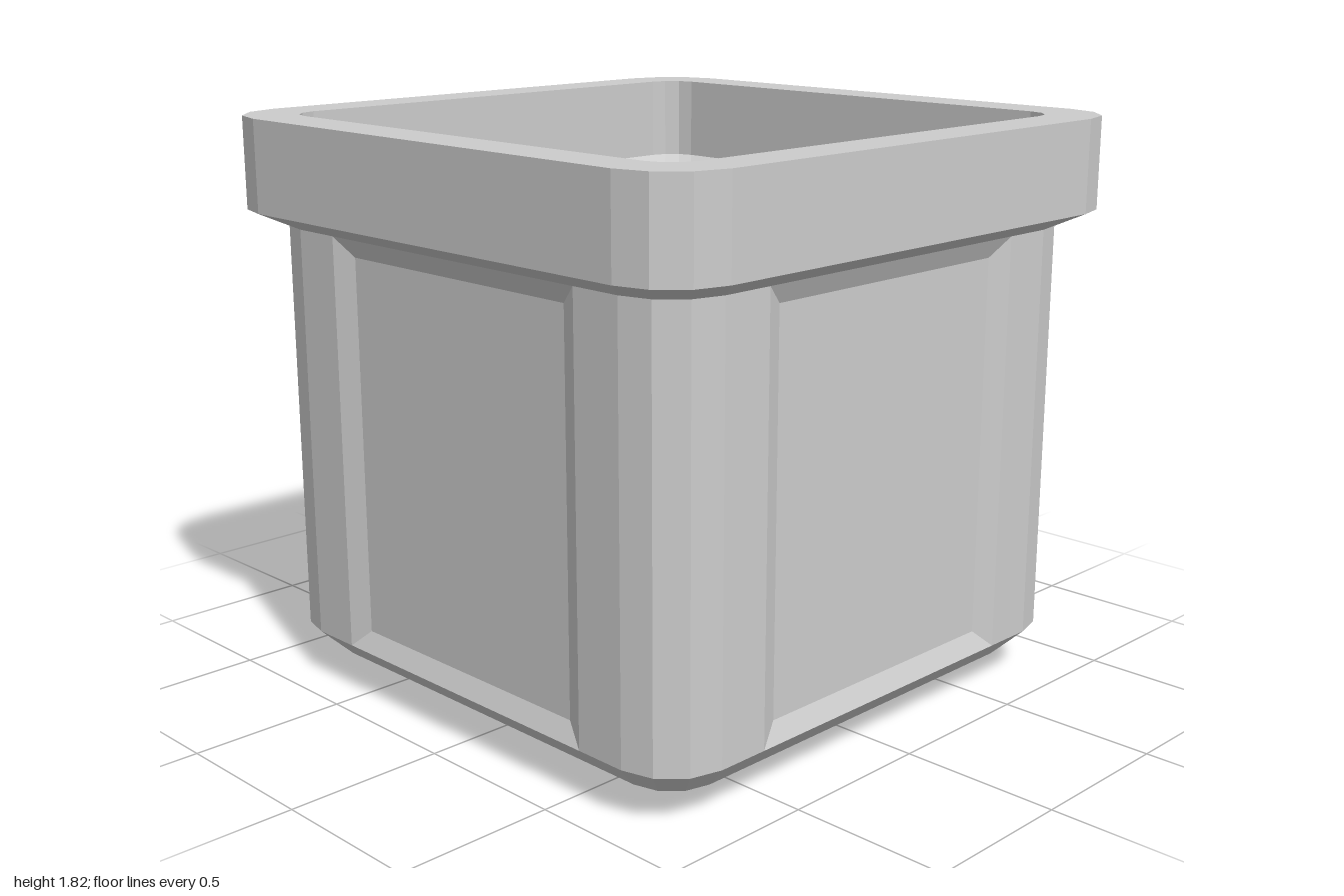
import * as THREE from 'three';

// Rounded-square ring, counterclockwise from above. Each side carries a panel:
// a = panel half width on the wall, b = half width of its shifted face, d = shift inwards.
function ring({ h, y, r = 0, a = 0.54, b = a, d = 0 }) {
  const A = Math.min(a, h), B = Math.min(b, h);
  const side = [[-A, h], [-B, h - d], [B, h - d], [A, h]];
  for (let i = 0; i <= 3; i++) {
    const t = (i * Math.PI) / 6;
    side.push([h - r + r * Math.sin(t), h - r + r * Math.cos(t)]);
  }
  const points = [];
  for (let k = 0; k < 4; k++) {
    for (let [x, z] of side) {
      for (let n = 0; n < k; n++) [x, z] = [z, -x];
      points.push(new THREE.Vector3(x, y, z));
    }
  }
  return points;
}

// Faceted skin through successive rings, skipping collapsed triangles
function loft(name, sections, material) {
  const rings = sections.map(ring);
  const positions = [];
  const tri = (p, q, s) => {
    const area = q.clone().sub(p).cross(s.clone().sub(p)).length();
    if (area > 1e-7) for (const v of [p, q, s]) positions.push(v.x, v.y, v.z);
  };
  for (let j = 0; j < rings.length - 1; j++) {
    const lo = rings[j], hi = rings[j + 1], n = lo.length;
    for (let i = 0; i < n; i++) {
      const k = (i + 1) % n;
      tri(lo[i], lo[k], hi[k]);
      tri(lo[i], hi[k], hi[i]);
    }
  }
  const geometry = new THREE.BufferGeometry();
  geometry.setAttribute('position', new THREE.Float32BufferAttribute(positions, 3));
  geometry.computeVertexNormals();
  const mesh = new THREE.Mesh(geometry, material);
  mesh.name = name;
  return mesh;
}

export function createModel() {
  const group = new THREE.Group();
  group.name = 'squarePlanter';
  const clay = new THREE.MeshStandardMaterial({ color: 0xcccccc, flatShading: true });
  clay.name = 'pale grey';

  // Chamfered foot
  const wall = { h: 0.905, r: 0.195 };
  group.add(loft('foot', [
    { h: 0, y: 0 },
    { h: 0.66, y: 0 },
    { h: 0.815, y: 0.07, r: 0.15 },
    { ...wall, y: 0.16 },
  ], clay));

  // Outer walls with a shallow recessed panel on each side
  const recess = { ...wall, a: 0.54, b: 0.47, d: 0.03 };
  group.add(loft('outerWalls', [
    { ...wall, y: 0.16 },
    { ...recess, y: 0.22 },
    { ...recess, y: 1.42 },
    { ...wall, y: 1.48 },
  ], clay));

  // Overhanging rim, down to the sloped inner ledge
  const opening = { h: 0.77, r: 0.1, a: 0.55 };
  group.add(loft('rim', [
    { ...wall, y: 1.48 },
    { h: 1, y: 1.53, r: 0.21 },
    { h: 1, y: 1.82, r: 0.21 },
    { h: 0.845, y: 1.82, r: 0.1 },
    { h: 0.845, y: 1.55, r: 0.1, a: 0.55 },
    { ...opening, y: 1.5 },
  ], clay));

  // Inner walls with panels standing inwards, and the floor
  const bulge = { ...opening, b: 0.43, d: 0.06 };
  group.add(loft('interior', [
    { ...opening, y: 1.5 },
    { ...bulge, y: 1.43 },
    { ...bulge, y: 0.22 },
    { ...opening, y: 0.15 },
    { h: 0, y: 0.15 },
  ], clay));

  return group;
}
